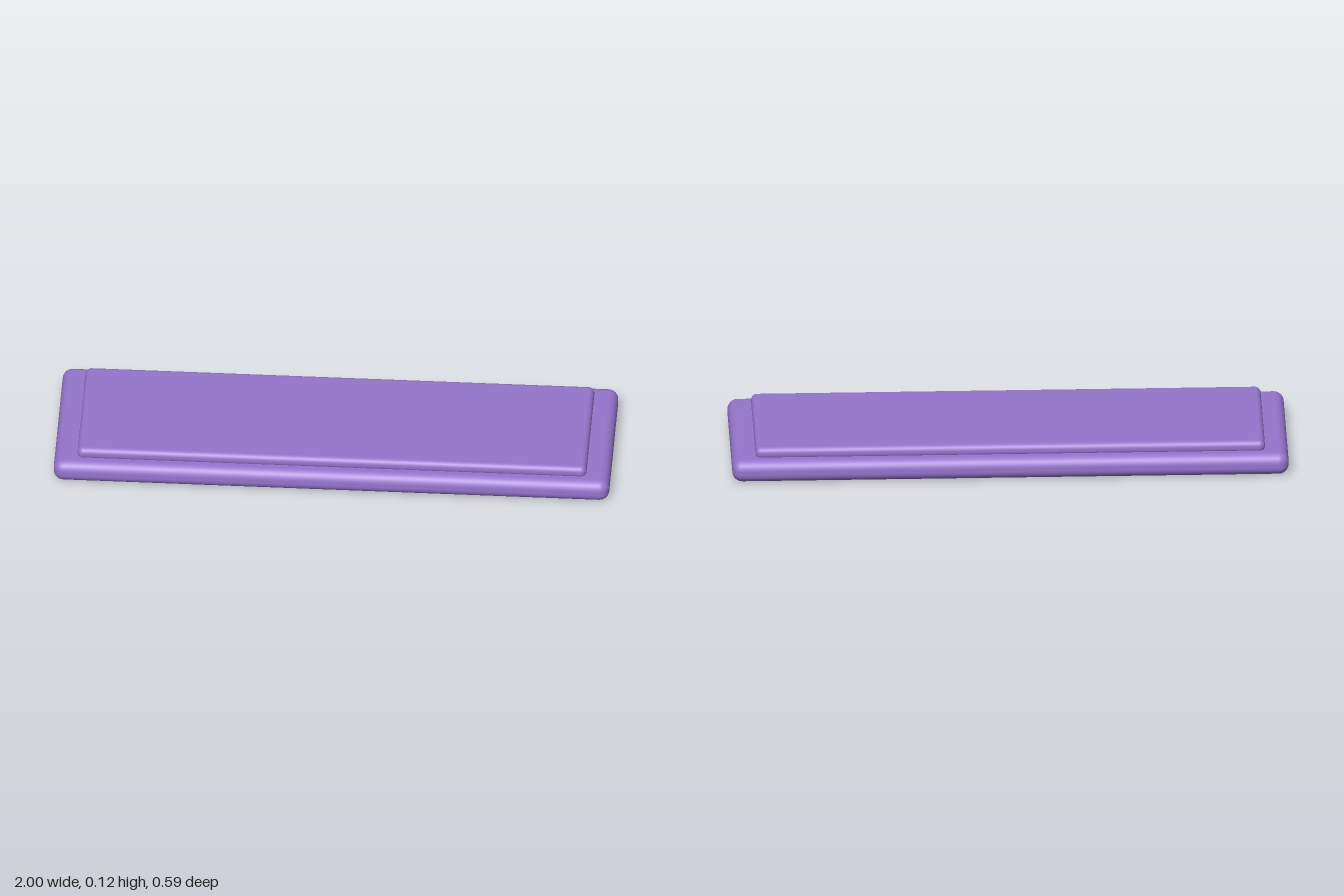
import * as THREE from 'three';
import { RoundedBoxGeometry } from 'three/addons/geometries/RoundedBoxGeometry.js';

export function createModel() {
  const group = new THREE.Group();
  group.name = 'steppedSlab';
  const material = new THREE.MeshStandardMaterial({ color: 0x9575cd });

  // Rounded slab spanning bottom to top, centred on x and z
  function addSlab(name, width, depth, bottom, top, radius) {
    const geometry = new RoundedBoxGeometry(width, top - bottom, depth, 4, radius);
    const mesh = new THREE.Mesh(geometry, material);
    mesh.name = name;
    mesh.position.y = (bottom + top) / 2;
    group.add(mesh);
  }

  // Wide base with a thinner raised panel sunk slightly into it
  addSlab('base', 2, 0.588, 0, 0.083, 0.036);
  addSlab('raisedPanel', 1.832, 0.494, 0.072, 0.118, 0.021);

  return group;
}
